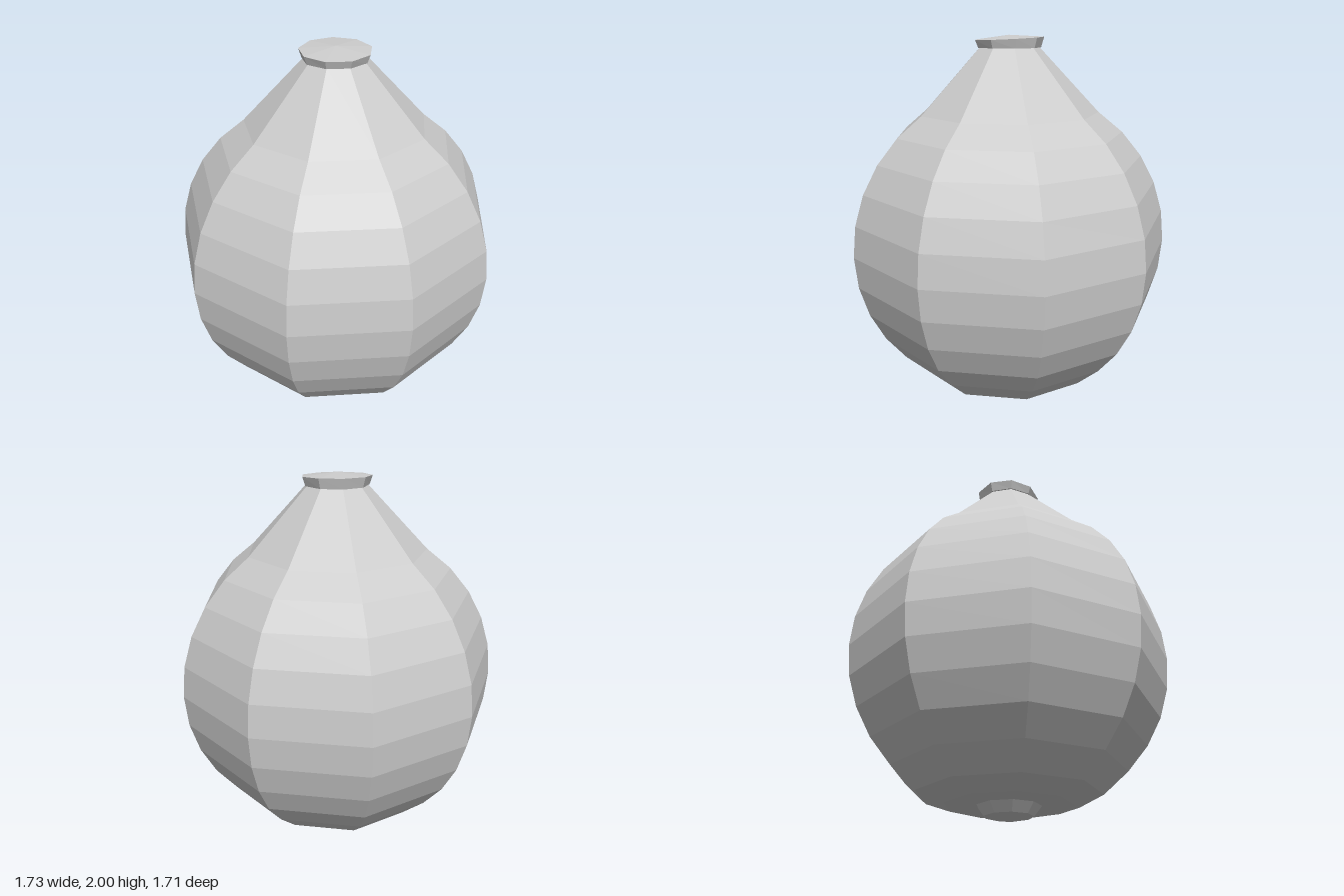
import * as THREE from 'three';

const SIDES = 9;
const RADIUS = 0.88;
const CENTRE_Y = 0.86;
// A nine-sided ring has a corner at the back and a flat at the front; centre its depth.
const CENTRE_Z = RADIUS * (1 - Math.cos(Math.PI / SIDES)) / 2;

// Faceted solid of revolution; profile runs bottom to top as [radius, height]
function turned(name, profile, material) {
  const points = profile.map(([r, y]) => new THREE.Vector2(r, y));
  const mesh = new THREE.Mesh(new THREE.LatheGeometry(points, SIDES, Math.PI), material);
  mesh.name = name;
  return mesh;
}

export function createModel() {
  const grey = new THREE.MeshStandardMaterial({ color: 0xcccccc, flatShading: true });
  grey.name = 'plainGrey';

  const model = new THREE.Group();
  model.name = 'bulb';

  // Body: flat underside, spherical bands, then a straight cone up to the neck
  const profile = [[0, 0.065], [0.34, 0.065], [0.489, 0.118]];
  for (let i = -4; i <= 5; i++) {
    const a = i * Math.PI / 16;
    profile.push([RADIUS * Math.cos(a), CENTRE_Y + RADIUS * Math.sin(a)]);
  }
  profile.push([0.165, 1.935]);
  model.add(turned('body', profile, grey));

  // Cap: flared rim with a shallow point, rim slightly higher at the back
  const cap = turned('cap', [[0, 1.935], [0.172, 1.935], [0.188, 1.982], [0, 2]], grey);
  const pos = cap.geometry.attributes.position;
  for (let i = 0; i < pos.count; i++) {
    if (Math.abs(pos.getY(i) - 1.982) < 0.001) pos.setY(i, 1.982 - 0.045 * pos.getZ(i));
  }
  cap.geometry.computeVertexNormals();
  model.add(cap);

  // Base nub: tapers down to a slightly hollow foot
  model.add(turned('baseNub', [[0, 0.015], [0.075, 0], [0.13, 0.012], [0.172, 0.066]], grey));

  model.children.forEach((part) => { part.position.z = CENTRE_Z; });
  return model;
}
